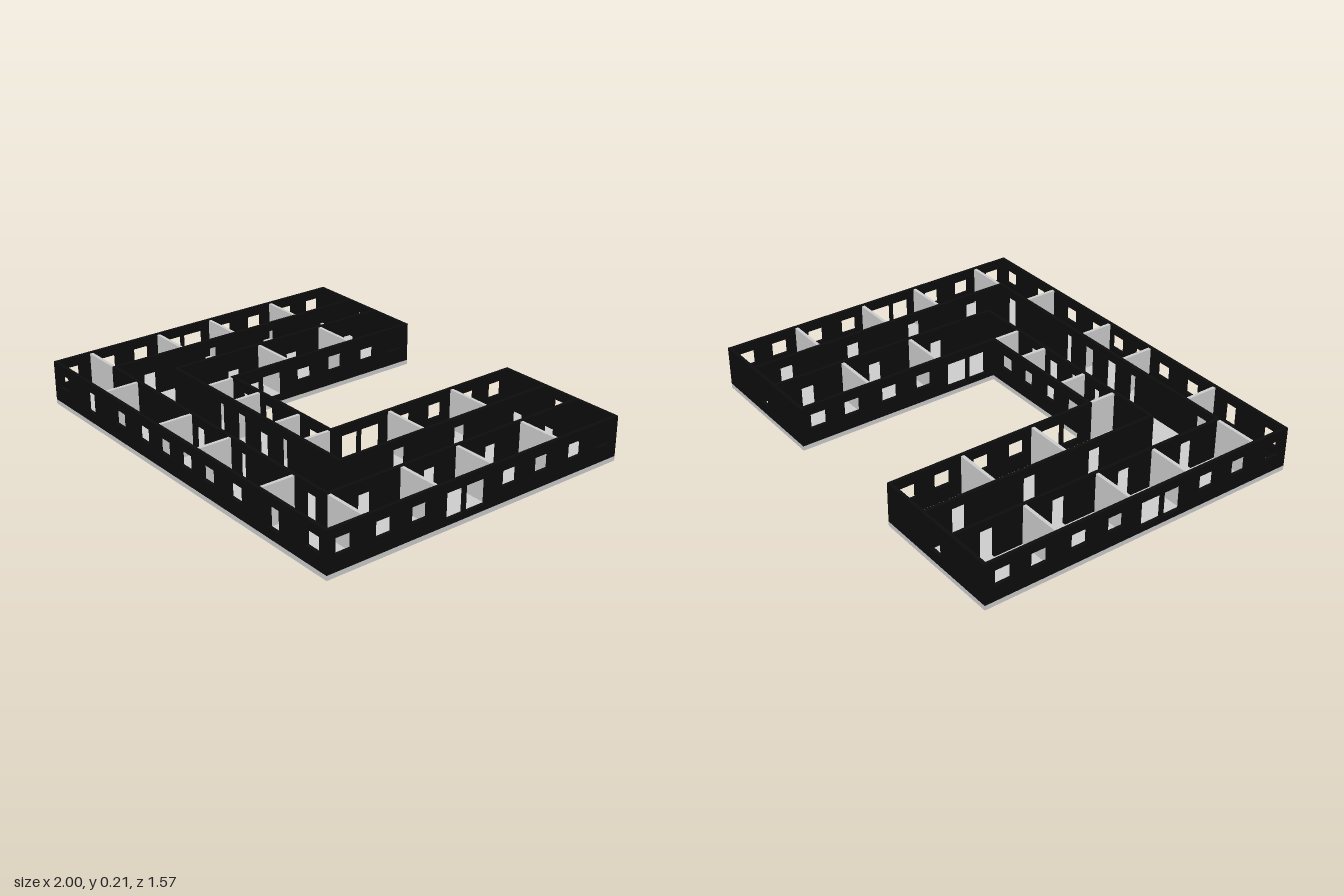
import * as THREE from 'three';

const FLOOR = 0.022, TOP = 0.212, T = 0.016, H = T / 2;
const BACK = -0.787, FRONT = 0.787;

const grey = new THREE.MeshStandardMaterial({ color: 0xcccccc });
const black = new THREE.MeshStandardMaterial({ color: 0x0c0c0c });

// Openings: [centre, width, bottom, top]
const win = (c, w = 0.08) => [c, w, 0.095, 0.167];
const tall = (c, w = 0.066) => [c, w, 0.07, 0.169];
const big = (c, w) => [c, w, 0.05, 0.167];
const door = (c, w = 0.068) => [c, w, FLOOR, 0.17];

// Straight wall running along x or z, with windows as holes and doors as notches
function wall(parent, name, axis, at, from, to, openings = []) {
  const s = new THREE.Shape();
  s.moveTo(from, FLOOR);
  const sorted = [...openings].sort((a, b) => a[0] - b[0]);
  for (const [c, w, y0, y1] of sorted) {
    const l = c - w / 2, r = c + w / 2;
    if (y0 <= FLOOR) {
      s.lineTo(l, FLOOR);
      s.lineTo(l, y1);
      s.lineTo(r, y1);
      s.lineTo(r, FLOOR);
    } else {
      const h = new THREE.Path();
      h.moveTo(l, y0);
      h.lineTo(l, y1);
      h.lineTo(r, y1);
      h.lineTo(r, y0);
      h.closePath();
      s.holes.push(h);
    }
  }
  s.lineTo(to, FLOOR);
  s.lineTo(to, TOP);
  s.lineTo(from, TOP);
  s.closePath();
  const g = new THREE.ExtrudeGeometry(s, { depth: T, bevelEnabled: false });
  g.translate(0, 0, -H);
  if (axis === 'z') g.rotateY(-Math.PI / 2).translate(at, 0, 0);
  else g.translate(0, 0, at);
  const m = new THREE.Mesh(g, black);
  m.name = name;
  parent.add(m);
}

// Thin room divider given by its plan rectangle
function partition(parent, x0, x1, z0, z1) {
  const h = TOP - 0.004 - FLOOR;
  const m = new THREE.Mesh(new THREE.BoxGeometry(x1 - x0, h, z1 - z0), grey);
  m.position.set((x0 + x1) / 2, FLOOR + h / 2, (z0 + z1) / 2);
  m.name = 'partition';
  parent.add(m);
}

export function createModel() {
  const model = new THREE.Group();
  model.name = 'floorPlan';

  // U-shaped floor slab
  const plan = [[-1, FRONT], [1, FRONT], [1, BACK], [0.34, BACK], [0.34, 0.237],
    [-0.34, 0.237], [-0.34, BACK], [-1, BACK]];
  const slabShape = new THREE.Shape(plan.map(([x, z]) => new THREE.Vector2(x, -z)));
  const slab = new THREE.Mesh(
    new THREE.ExtrudeGeometry(slabShape, { depth: FLOOR, bevelEnabled: false }).rotateX(-Math.PI / 2), grey);
  slab.name = 'floorSlab';
  model.add(slab);

  const walls = new THREE.Group();
  walls.name = 'walls';
  const partitions = new THREE.Group();
  partitions.name = 'partitions';
  model.add(walls, partitions);

  const mirror = (list) => list.flatMap(([c, ...r]) => [[c, ...r], [-c, ...r]]);
  const wingWindows = [win(-0.70), win(-0.53), win(-0.335), win(-0.152), big(0.033, 0.106), big(0.145, 0.09)];
  const wingDoors = [door(-0.615), door(-0.262), door(0.078)];

  // Walls of the front wing, spanning left to right
  wall(walls, 'frontWall', 'x', FRONT - H, -1 + T, 1 - T,
    mirror([win(0.08), win(0.24), win(0.43), tall(0.677), win(0.915)]));
  wall(walls, 'frontCorridorWall', 'x', 0.602, -0.772 + H, 0.772 - H,
    mirror([door(0.08), door(0.228, 0.045), door(0.677)]));
  wall(walls, 'rearCorridorWall', 'x', 0.39, -0.585 + H, 0.585 - H,
    mirror([door(0.08), door(0.228, 0.045)]));
  wall(walls, 'courtyardFrontWall', 'x', 0.245, -0.348 + H, 0.348 - H,
    mirror([win(0.08, 0.066), win(0.24)]));

  for (const s of [-1, 1]) {
    // Walls of each side wing, running front to back
    wall(walls, 'sideWall', 'z', s * (1 - H), BACK, FRONT,
      [...wingWindows, win(0.33), win(0.51), win(0.705)]);
    wall(walls, 'outerCorridorWall', 'z', s * 0.772, BACK + T, 0.602 + H, [...wingDoors, door(0.42)]);
    wall(walls, 'innerCorridorWall', 'z', s * 0.585, BACK + T, 0.39 + H, wingDoors);
    wall(walls, 'courtyardSideWall', 'z', s * 0.348, BACK, 0.245 + H, wingWindows);
    const [a, b] = s > 0 ? [0.348 + H, 1 - T] : [-1 + T, -0.348 - H];
    wall(walls, 'wingEndWall', 'x', BACK + H, a, b, [tall(s * 0.677)]);

    // Room dividers
    const across = (a, b, z) =>
      partition(partitions, Math.min(s * a, s * b), Math.max(s * a, s * b), z - H, z + H);
    const along = (x, z0, z1) => partition(partitions, s * x - H, s * x + H, z0, z1);
    for (const z of [-0.435, -0.068, 0.23, 0.598]) across(0.772 + H, 1 - T, z);
    for (const z of [-0.43, -0.068]) across(0.348 + H, 0.585 - H, z);
    for (const x of [0.143, 0.57]) along(x, 0.602 + H, FRONT - T);
    along(0.143, 0.245 + H, 0.39 - H);
    along(0.345, 0.245 + H, 0.39 - H);
  }
  return model;
}
